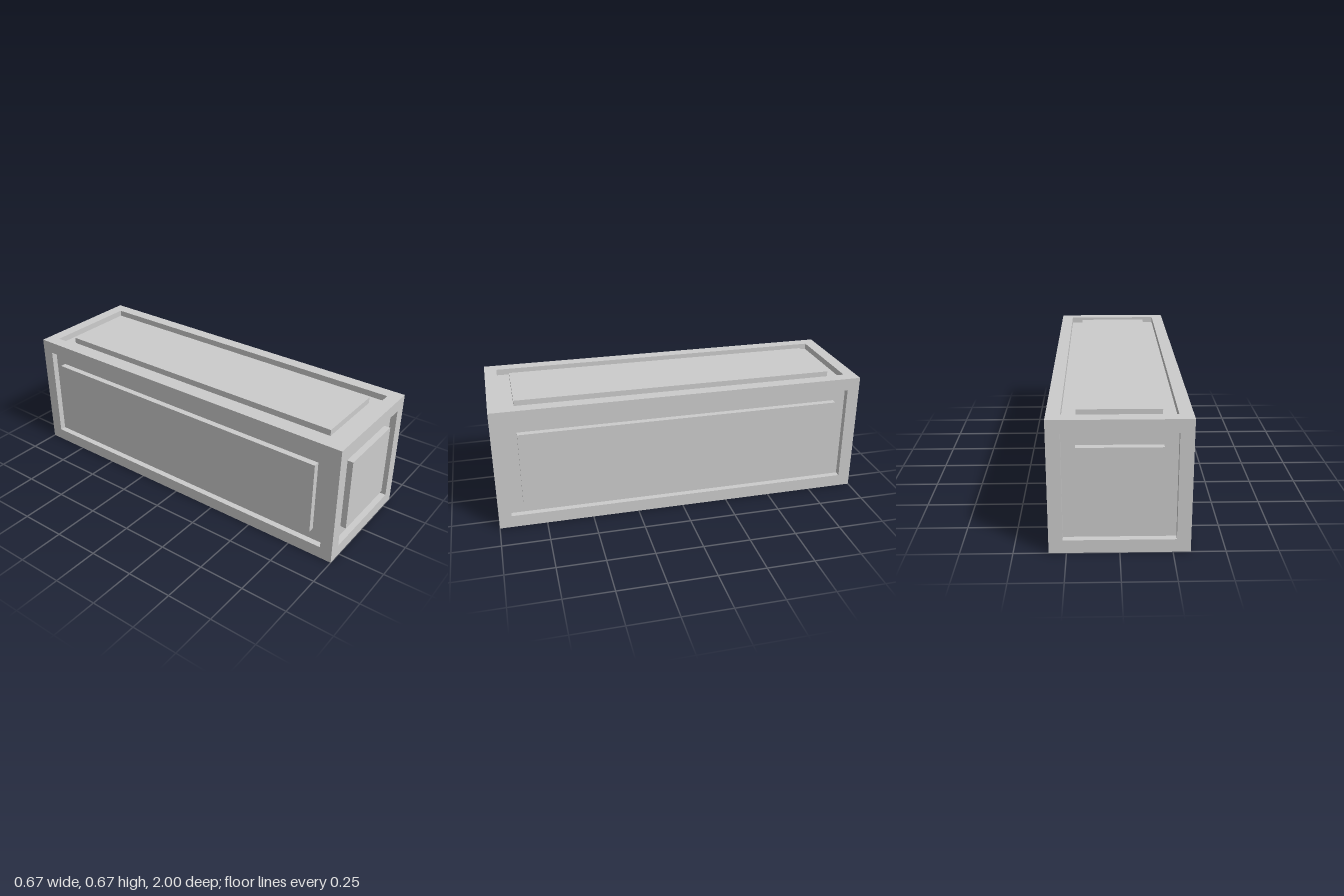
import * as THREE from 'three';

const W = 2 / 3, H = 2 / 3, L = 2; // crate size
const B = 1 / 15;                  // border and groove width
const D = 1 / 30;                  // groove depth

// Nested rectangular loops [inset, z] joined from outside in, then capped; faces +z
function steppedFace(w, h, steps) {
  const rings = steps.map(([inset, z]) => {
    const x = w / 2 - inset, y = h / 2 - inset;
    return [[-x, -y, z], [x, -y, z], [x, y, z], [-x, y, z]];
  });
  const pos = [];
  const quad = (a, b, c, d) => pos.push(...a, ...b, ...c, ...a, ...c, ...d);
  for (let i = 0; i + 1 < rings.length; i++) {
    for (let k = 0; k < 4; k++) {
      const n = (k + 1) % 4;
      quad(rings[i][k], rings[i][n], rings[i + 1][n], rings[i + 1][k]);
    }
  }
  quad(...rings[rings.length - 1]);
  const geo = new THREE.BufferGeometry();
  geo.setAttribute('position', new THREE.Float32BufferAttribute(pos, 3));
  geo.computeVertexNormals();
  return geo;
}

export function createModel() {
  const group = new THREE.Group();
  group.name = 'crate';
  const material = new THREE.MeshStandardMaterial({ color: 0xcccccc, flatShading: true });

  // Border, recessed groove, and a centre panel raised flush with the border
  const panelled = [[0, 0], [B, 0], [B, -D], [2 * B, -D], [2 * B, 0]];
  const plain = [[0, 0]];
  const q = Math.PI / 2;

  // name, width, height, profile, position, rotation
  const faces = [
    ['frontFace', W, H, panelled, [0, H / 2, L / 2], [0, 0, 0]],
    ['backFace', W, H, panelled, [0, H / 2, -L / 2], [0, Math.PI, 0]],
    ['leftFace', L, H, panelled, [W / 2, H / 2, 0], [0, q, 0]],
    ['rightFace', L, H, panelled, [-W / 2, H / 2, 0], [0, -q, 0]],
    ['topFace', W, L, panelled, [0, H, 0], [-q, 0, 0]],
    ['bottomFace', W, L, plain, [0, 0, 0], [q, 0, 0]],
  ];
  for (const [name, w, h, steps, position, rotation] of faces) {
    const mesh = new THREE.Mesh(steppedFace(w, h, steps), material);
    mesh.name = name;
    mesh.position.set(...position);
    mesh.rotation.set(...rotation);
    group.add(mesh);
  }
  return group;
}
